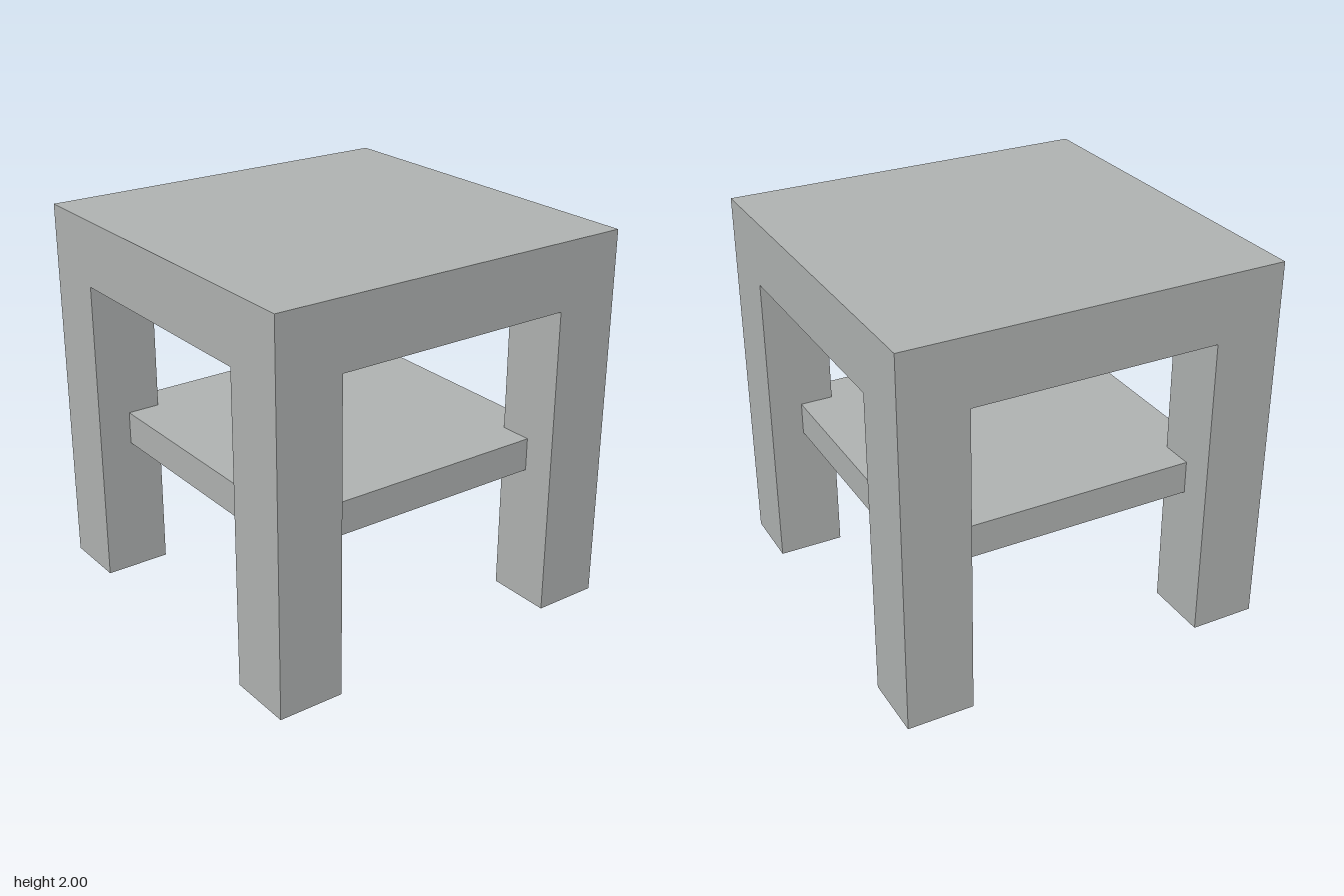
import * as THREE from 'three';

export function createModel() {
  const table = new THREE.Group();
  table.name = 'sideTable';
  const grey = new THREE.MeshStandardMaterial({ color: 0xb0b3b2 });
  grey.name = 'grey';

  const LEG = 0.35; // leg width and top thickness

  // Adds a box standing on height y
  function addBox(name, w, h, d, x, y, z) {
    const mesh = new THREE.Mesh(new THREE.BoxGeometry(w, h, d), grey);
    mesh.name = name;
    mesh.position.set(x, y + h / 2, z);
    table.add(mesh);
  }

  // Thick table top
  addBox('tableTop', 2, LEG, 2, 0, 2 - LEG, 0);

  // Four square legs flush with the corners
  const offset = 1 - LEG / 2;
  for (const [side, sx] of [['Left', 1], ['Right', -1]]) {
    for (const [end, sz] of [['front', 1], ['back', -1]]) {
      addBox(`${end}${side}Leg`, LEG, 2 - LEG, LEG, sx * offset, 0, sz * offset);
    }
  }

  // Lower shelf, its corners let into the middle of the legs
  addBox('shelf', offset * 2, 0.175, offset * 2, 0, 0.74, 0);

  return table;
}
